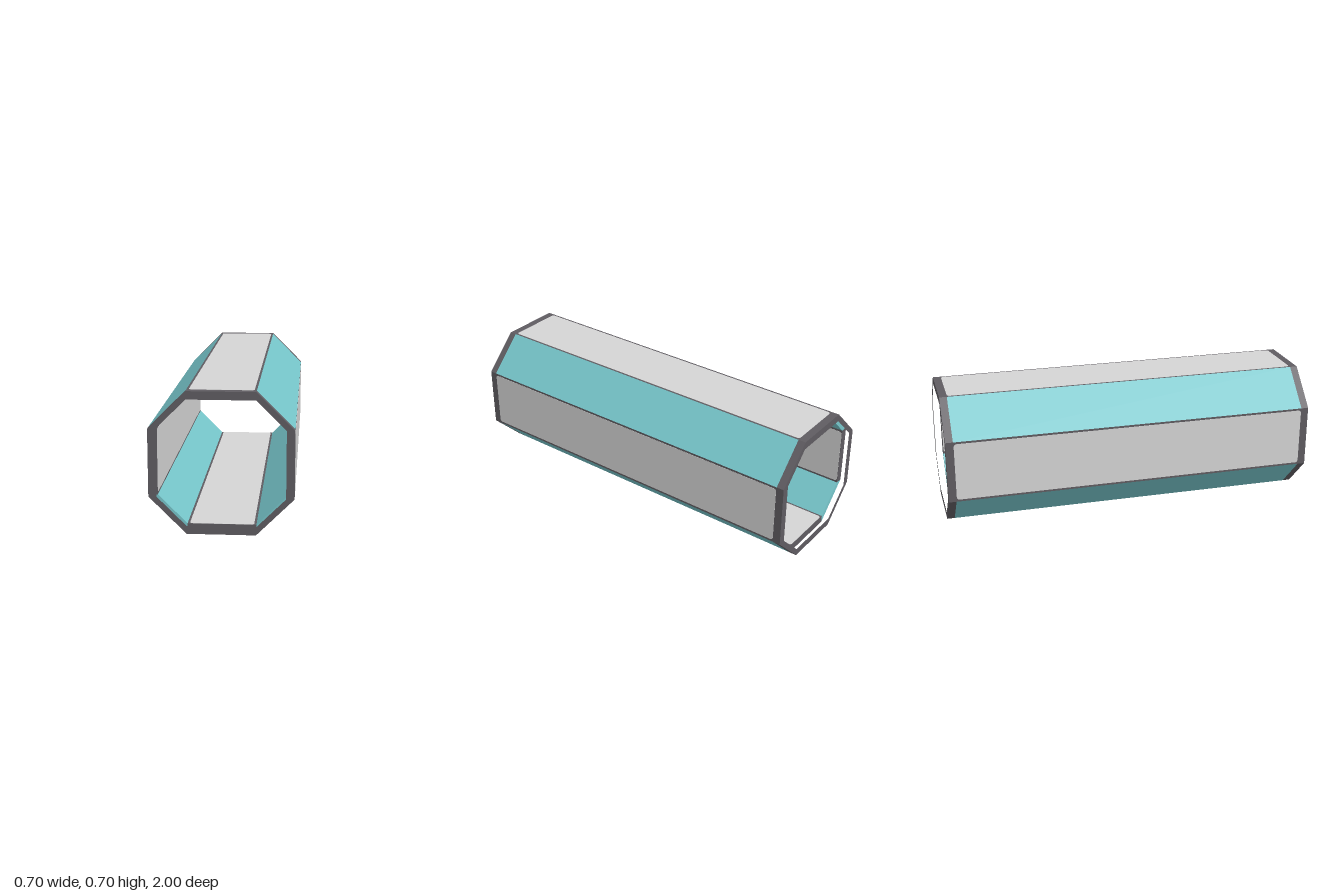
import * as THREE from 'three';

const OUT = 0.35, INN = 0.31, COR = 0.167; // outer and inner half widths, half of a flat side
const HALF = 1, RIM = 0.04;                // half length, depth of the end rims

const frameMat = new THREE.MeshStandardMaterial({ name: 'dark frame', color: 0x5f5c61 });
const greyMat = new THREE.MeshStandardMaterial({ name: 'light grey panel', color: 0xd4d4d4 });
const tealMat = new THREE.MeshStandardMaterial({ name: 'teal panel', color: 0x76c5ca });

const octagon = (r) => [
  [COR, r], [r, COR], [r, -COR], [COR, -r], [-COR, -r], [-r, -COR], [-r, COR], [-COR, r],
].map(([x, y]) => new THREE.Vector2(x, y));

// Extrusion along z, centred on z = 0
function prism(shape, length) {
  const g = new THREE.ExtrudeGeometry(shape, { depth: length, bevelEnabled: false, curveSegments: 4 });
  return g.translate(0, 0, -length / 2);
}

function roundedRect(hw, hh, r) {
  const s = new THREE.Shape();
  s.absarc(hw - r, hh - r, r, 0, Math.PI / 2);
  s.absarc(-hw + r, hh - r, r, Math.PI / 2, Math.PI);
  s.absarc(-hw + r, -hh + r, r, Math.PI, Math.PI * 1.5);
  s.absarc(hw - r, -hh + r, r, Math.PI * 1.5, Math.PI * 2);
  return s;
}

function add(parent, name, geometry, material) {
  const m = new THREE.Mesh(geometry, material);
  m.name = name;
  parent.add(m);
  return m;
}

export function createModel() {
  const model = new THREE.Group();
  model.name = 'octagonalTunnel';
  const body = new THREE.Group();
  body.name = 'body';
  body.position.y = OUT;
  model.add(body);

  // Octagonal rims at both ends
  const ring = new THREE.Shape(octagon(OUT));
  ring.holes.push(new THREE.Path(octagon(INN)));
  const rimGeo = prism(ring, RIM);
  add(body, 'frontRim', rimGeo, frameMat).position.z = HALF - RIM / 2;
  add(body, 'backRim', rimGeo, frameMat).position.z = -HALF + RIM / 2;

  const len = 2 * (HALF - RIM);
  const wallGeo = new THREE.BoxGeometry(2 * COR, OUT - INN, len);
  const plateGeo = prism(roundedRect(0.156, len / 2 - 0.002, 0.016), 0.004).rotateX(-Math.PI / 2);
  const slantGeo = prism(new THREE.Shape([
    new THREE.Vector2(COR, OUT), new THREE.Vector2(COR, INN),
    new THREE.Vector2(INN, COR), new THREE.Vector2(OUT, COR),
  ]), len);

  // Each quarter: a framed flat wall with a plate on both faces, and a slanted wall
  ['top', 'left', 'bottom', 'right'].forEach((side, i) => {
    const quarter = new THREE.Group();
    quarter.name = side + 'Section';
    quarter.rotation.z = -i * Math.PI / 2;
    body.add(quarter);
    add(quarter, 'wallFrame', wallGeo, frameMat).position.y = (OUT + INN) / 2;
    add(quarter, 'outerPanel', plateGeo, greyMat).position.y = OUT - 0.001;
    add(quarter, 'innerPanel', plateGeo, greyMat).position.y = INN + 0.001;
    add(quarter, 'slantedPanel', slantGeo, tealMat);
  });

  return model;
}
